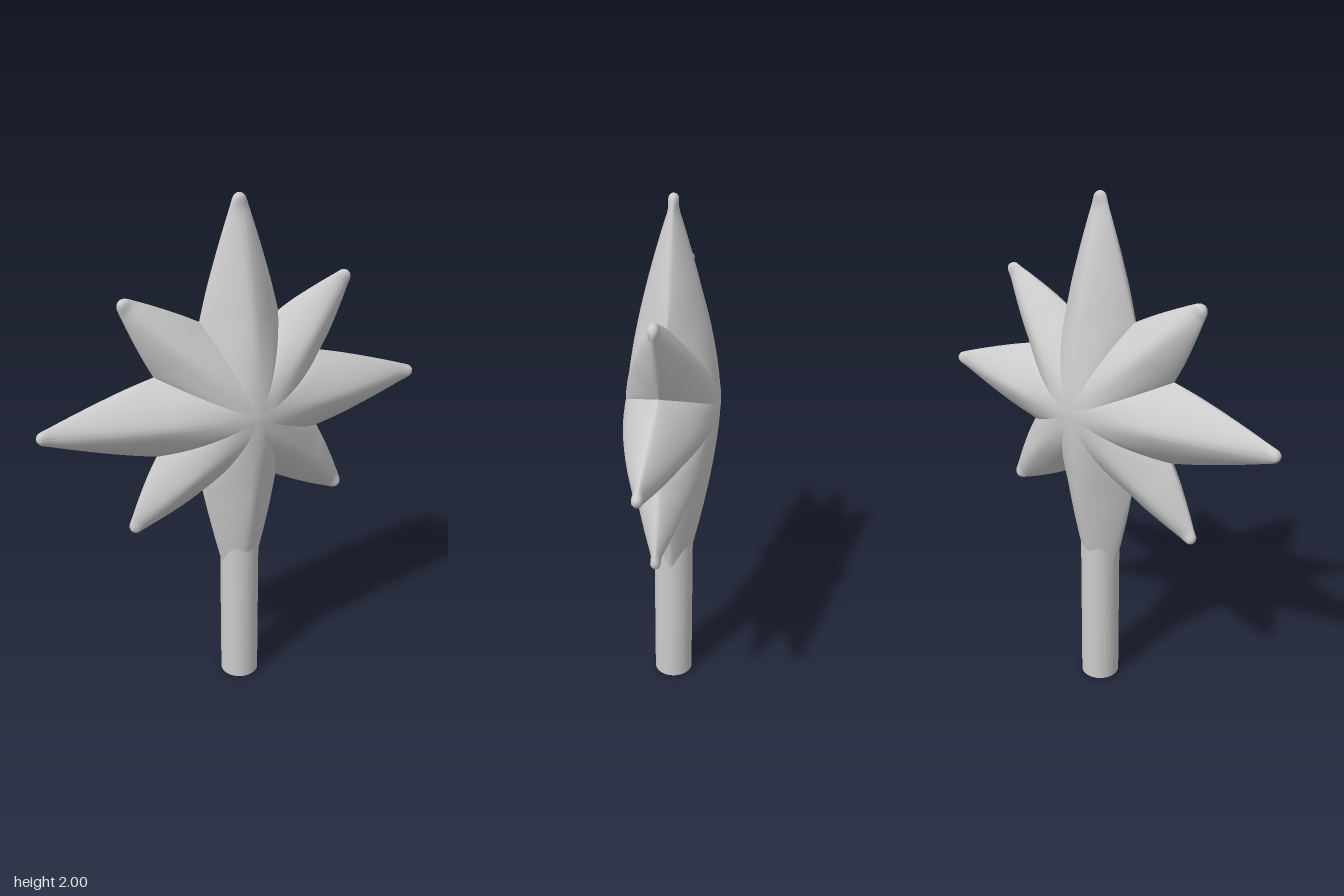
import * as THREE from 'three';

const CENTER_Y = 1.23, DEPTH = 0.175, VALLEY_R = 0.37;
const COLS = 12, INNER = 12, OUTER = 20, TIP = 0.018;

// 0..1 ramp with a softly rounded start
const soft = (s, k) => (Math.hypot(s, k) - k) / (Math.hypot(1, k) - k);

// One face of a ray pointing along +y, bulging towards +z
function rayFace(length, halfAngle) {
  const rows = [];
  const valleyD = VALLEY_R * Math.cos(halfAngle);
  const valleyW = VALLEY_R * Math.sin(halfAngle);
  const ridge = d => DEPTH * (1 - Math.pow(Math.min(1, d / length), 1.5));

  // Inner rows run from the hub to the valley, shared with the next ray
  for (let i = 0; i <= INNER; i++) {
    const t = i / INNER;
    rows.push({ d: valleyD * t, w: valleyW * t, h: ridge(valleyD * t), base: DEPTH * (1 - t * t), edge: 0 });
  }
  // Outer rows taper to a rounded tip
  for (let i = 1; i <= OUTER; i++) {
    const t = Math.sin((i / OUTER) * Math.PI / 2);
    const d = valleyD + (length - valleyD) * t;
    const c = Math.max(0, (d - (length - TIP)) / TIP);
    const cap = Math.sqrt(Math.max(0, 1 - c * c));
    const w = THREE.MathUtils.lerp(valleyW, TIP, t) + 0.02 * t * (1 - t);
    rows.push({ d, w: w * cap, h: Math.max(ridge(d), TIP) * cap, base: 0, edge: 0.006 * Math.min(1, t * 4) });
  }

  const pos = [], index = [], stride = 2 * COLS + 1;
  rows.forEach(({ d, w, h, base, edge }, r) => {
    const width = Math.max(w, 0.004);
    for (let j = -COLS; j <= COLS; j++) {
      const s = (1 - Math.cos(Math.PI * Math.abs(j) / COLS)) / 2;
      const bulge = 0.36 * s * (1 - s);
      const x = w * (1 - soft(1 - s, edge / width) + bulge);
      const z = base + (h - base) * (1 - soft(s, 0.01 / width) + bulge);
      pos.push(Math.sign(j) * x, d, z);
      if (r < rows.length - 1 && j < COLS) {
        const a = r * stride + j + COLS, b = a + stride;
        index.push(a, a + 1, b + 1, a, b + 1, b);
      }
    }
  });
  const geo = new THREE.BufferGeometry();
  geo.setAttribute('position', new THREE.Float32BufferAttribute(pos, 3));
  geo.setIndex(index);
  geo.computeVertexNormals();
  return geo;
}

export function createModel() {
  const model = new THREE.Group();
  model.name = 'starTopper';
  const material = new THREE.MeshStandardMaterial({ color: 0xcccccc });

  const longAngle = THREE.MathUtils.degToRad(25);
  const longFace = rayFace(0.77, longAngle);
  const shortFace = rayFace(0.632, Math.PI / 4 - longAngle);
  const lowerFace = rayFace(0.9, longAngle); // runs down into the stem

  // Eight rays, alternating long and short
  const star = new THREE.Group();
  star.name = 'star';
  star.position.y = CENTER_Y;
  for (let i = 0; i < 8; i++) {
    const geo = i === 4 ? lowerFace : i % 2 ? shortFace : longFace;
    const ray = new THREE.Group();
    ray.name = i === 4 ? 'lowerRay' : i % 2 ? 'shortRay' : 'longRay';
    for (const side of ['front', 'back']) {
      const face = new THREE.Mesh(geo, material);
      face.name = side + 'Face';
      if (side === 'back') face.rotation.y = Math.PI;
      ray.add(face);
    }
    ray.rotation.z = i * Math.PI / 4;
    star.add(ray);
  }
  model.add(star);

  // Round stem
  const stemHeight = 0.66;
  const stem = new THREE.Mesh(new THREE.CylinderGeometry(0.077, 0.077, stemHeight, 48), material);
  stem.name = 'stem';
  stem.position.y = stemHeight / 2;
  model.add(stem);
  return model;
}
